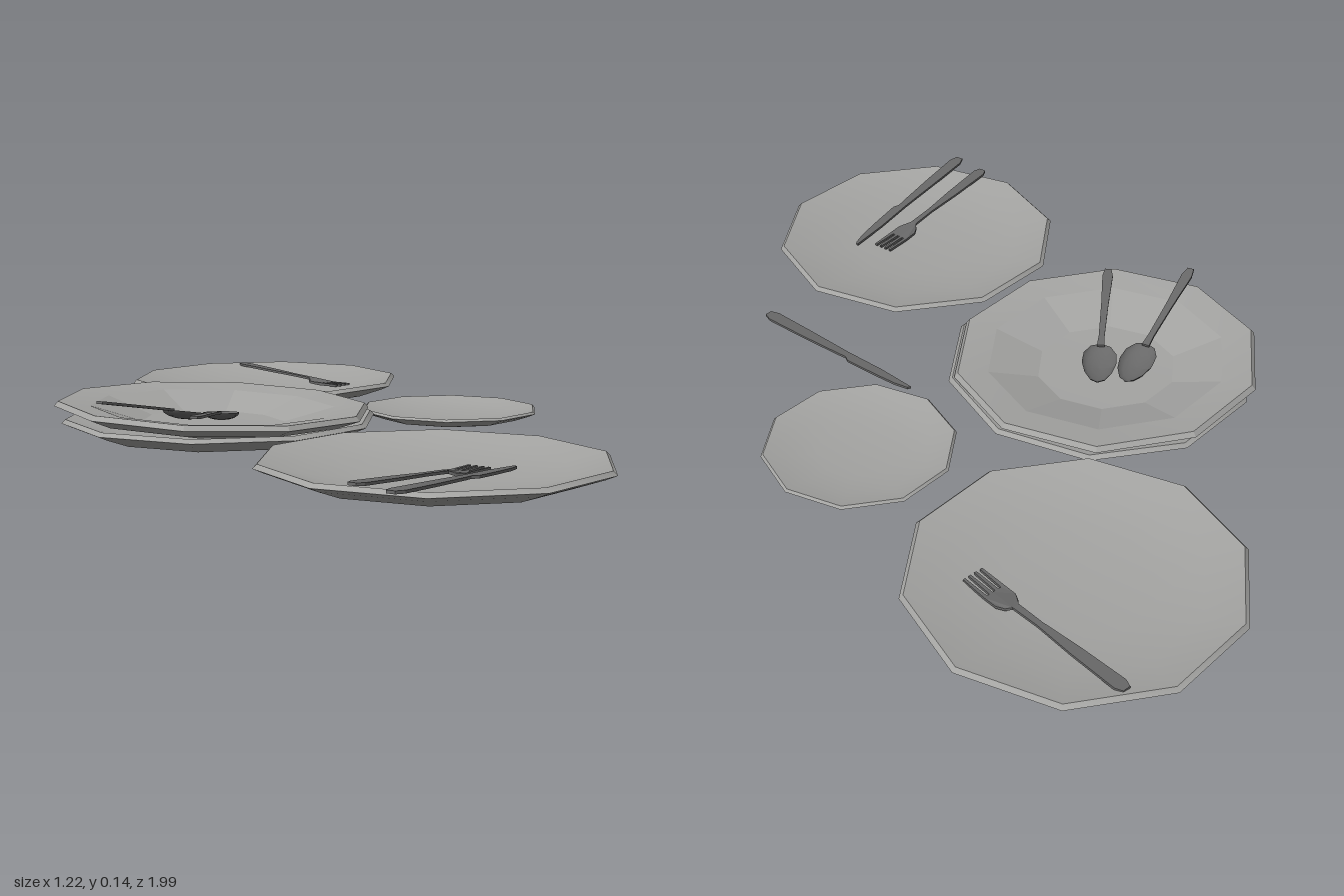
import * as THREE from 'three';
import { toCreasedNormals } from 'three/addons/utils/BufferGeometryUtils.js';

const china = new THREE.MeshStandardMaterial({ color: 0xa4a4a2 });
const steel = new THREE.MeshStandardMaterial({ color: 0x686868, side: THREE.DoubleSide });

// Profiles [radius, height] from the underside, round the bevelled rim, to the inside
const PLATE = [[0, 0], [0.11, 0.001], [0.2, 0.006], [0.28, 0.019], [0.34, 0.04], [0.363, 0.05],
  [0.354, 0.059], [0.27, 0.038], [0.16, 0.027], [0, 0.022]];
const SOUP = [[0, 0], [0.17, 0], [0.31, 0.026], [0.35, 0.041], [0.365, 0.047],
  [0.356, 0.058], [0.284, 0.048], [0.165, 0.013], [0, 0.009]];

// Ten-sided turned dish
function dish(name, profile, crease, x, y, z, scale = 1) {
  const points = profile.map(([r, h]) => new THREE.Vector2(r, h));
  const mesh = new THREE.Mesh(toCreasedNormals(new THREE.LatheGeometry(points, 10), crease), china);
  mesh.name = name;
  mesh.position.set(x, y, z);
  mesh.scale.setScalar(scale);
  return mesh;
}

// Flat cutlery outline [across, distance from tip], laid along +z with an optional bend
function flatPiece(outline, thickness, bend = () => 0) {
  const shape = new THREE.Shape(outline.map(([x, z]) => new THREE.Vector2(x, z)));
  const geo = new THREE.ExtrudeGeometry(shape, { depth: thickness, bevelEnabled: false });
  geo.rotateX(Math.PI / 2).translate(0, thickness, 0);
  const p = geo.attributes.position;
  for (let i = 0; i < p.count; i++) p.setY(i, p.getY(i) + bend(p.getZ(i)));
  geo.computeVertexNormals();
  return new THREE.Mesh(geo, steel);
}

// Mirror one half of an outline across its long axis
const mirrored = half => [...half, ...half.slice().reverse().map(([x, z]) => [-x, z])];

function fork() {
  const tines = [];
  for (let i = 0; i < 4; i++) {
    const x = -0.027 + i * 0.0152;
    tines.push([x, 0.065], [x + 0.001, 0], [x + 0.007, 0], [x + 0.0084, 0.065]);
  }
  const body = mirrored([[0.027, 0.1], [0.018, 0.118], [0.008, 0.13], [0.007, 0.2],
    [0.013, 0.3], [0.016, 0.42], [0.009, 0.437]]);
  return flatPiece([...tines, ...body], 0.006, z => (z > 0.05 && z < 0.12 ? -0.005 : 0));
}

function knife() {
  return flatPiece([[-0.006, 0], [0.002, 0.004], [0.009, 0.04], [0.013, 0.1], [0.016, 0.19], [0.008, 0.205],
    [0.01, 0.23], [0.015, 0.35], [0.017, 0.465], [0.009, 0.487], [-0.009, 0.487],
    [-0.016, 0.465], [-0.014, 0.35], [-0.01, 0.21], [-0.011, 0.1]], 0.006);
}

function spoon() {
  const group = new THREE.Group();
  // Egg-shaped hollow bowl, narrower at the tip
  const geo = new THREE.SphereGeometry(1, 12, 4, 0, Math.PI * 2, Math.PI / 2, Math.PI / 2);
  const p = geo.attributes.position;
  for (let i = 0; i < p.count; i++) {
    const z = p.getZ(i);
    p.setXYZ(i, p.getX(i) * 0.041 * (1 + 0.18 * z), p.getY(i) * 0.018, 0.067 + z * 0.067);
  }
  geo.computeVertexNormals();
  const bowl = new THREE.Mesh(geo, steel);
  bowl.name = 'spoonBowl';
  const handle = flatPiece(mirrored([[0.009, 0.125], [0.007, 0.16], [0.009, 0.28],
    [0.013, 0.385], [0.008, 0.412]]), 0.006);
  handle.name = 'spoonHandle';
  handle.position.y = -0.002;
  group.add(bowl, handle);
  return group;
}

export function createModel() {
  const model = new THREE.Group();
  model.name = 'tableSetting';

  // Plates
  model.add(
    dish('backPlate', PLATE, 0.7, -0.25, 0.01, -0.637),
    dish('middlePlate', PLATE, 0.7, -0.25, 0.01, 0.082),
    dish('frontPlate', PLATE, 0.7, 0.266, 0.01, 0.598),
    dish('sidePlate', PLATE, 0.7, 0.265, 0.01, -0.26, 0.61));

  // Soup plate resting slightly tilted on the middle plate
  const soup = dish('soupPlate', SOUP, 0.15, -0.267, 0.04, 0.08);
  soup.rotation.z = -0.036;
  model.add(soup);

  // Cutlery, each laid from its tip towards its handle end
  const cutlery = [
    ['backFork', fork, [-0.04, 0.043, -0.65], [-0.365, 0.064, -0.94]],
    ['frontFork', fork, [0.352, 0.04, 0.553], [0.132, 0.074, 0.93]],
    ['frontKnife', knife, [0.425, 0.042, 0.557], [0.205, 0.073, 0.99]],
    ['tableKnife', knife, [0.195, 0.003, 0.0], [0.597, 0, 0.27]],
    ['leftSpoon', spoon, [-0.25, 0.065, 0.0], [-0.25, 0.11, 0.41]],
    ['rightSpoon', spoon, [-0.313, 0.062, 0.015], [-0.457, 0.138, 0.4]],
  ];
  for (const [name, build, tip, end] of cutlery) {
    const piece = build();
    piece.name = name;
    piece.position.set(...tip);
    piece.lookAt(...end);
    model.add(piece);
  }
  return model;
}
